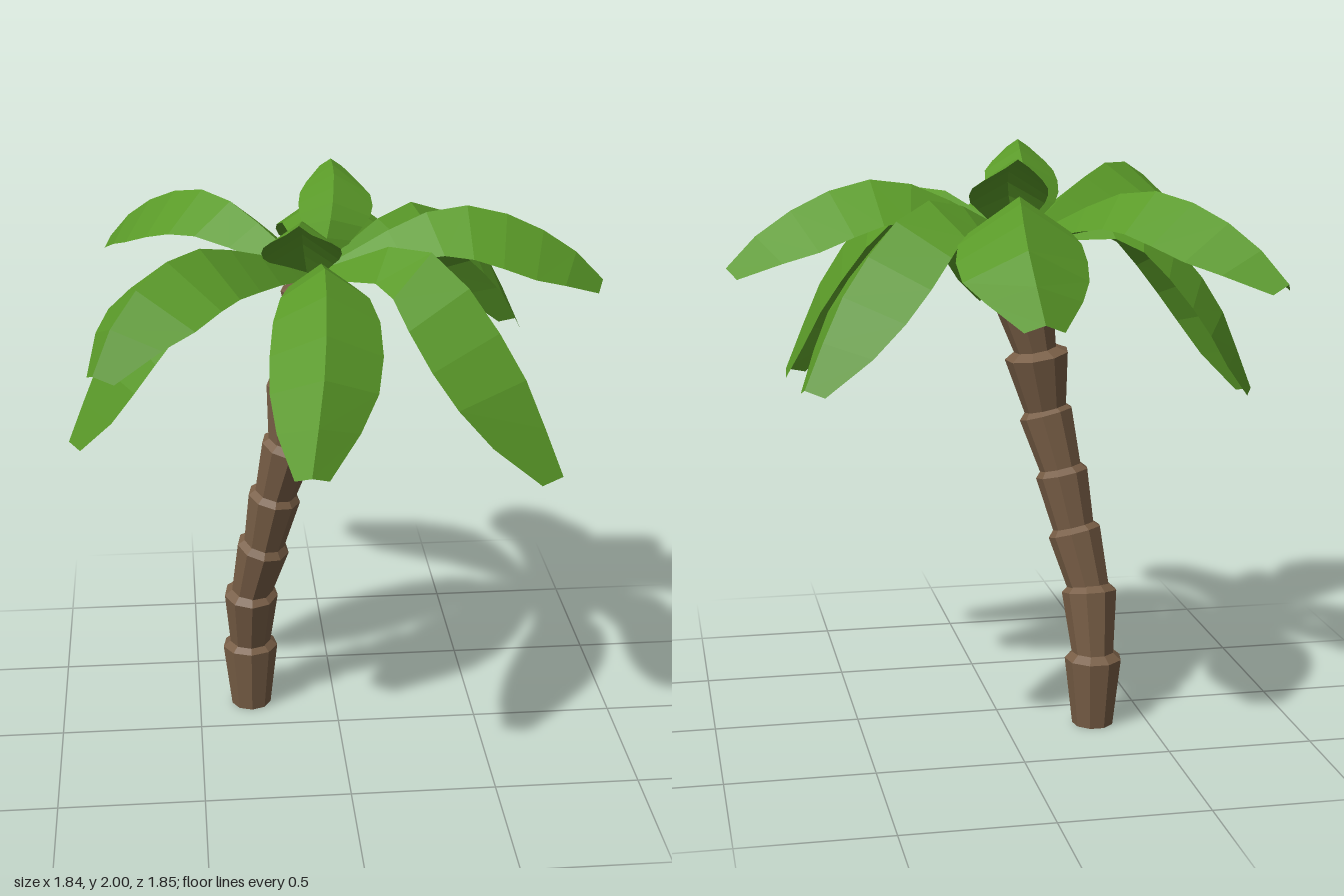
import * as THREE from 'three';

const bark = new THREE.MeshStandardMaterial({ color: 0x785e46, flatShading: true });
const green = new THREE.MeshStandardMaterial({ color: 0x5a9a28, flatShading: true, side: THREE.DoubleSide });
const V = (p) => new THREE.Vector3(...p);
const UP = new THREE.Vector3(0, 1, 0);

// One flared trunk section from point a to point b, with a sloping ledge on top
function trunkSection(a, b, rBottom, rTop) {
  const dir = b.clone().sub(a);
  const length = dir.length();
  const profile = [[0, 0], [rBottom, 0], [rTop, length - 0.005], [rBottom, length + 0.018], [0, length + 0.018]];
  const geo = new THREE.LatheGeometry(profile.map(([x, y]) => new THREE.Vector2(x, y)), 9);
  const mesh = new THREE.Mesh(geo, bark);
  mesh.position.copy(a);
  mesh.quaternion.setFromUnitVectors(UP, dir.normalize());
  return mesh;
}

// Half-width of a frond along its length
const WIDTHS = [0.045, 0.075, 0.12, 0.16, 0.19, 0.2, 0.19, 0.145, 0.06];

const sideOf = (from, to) =>
  new THREE.Vector3().crossVectors(UP, to.clone().sub(from).setY(0).normalize());

// A folded blade: a midrib ridge with both halves sloping away from it
function frond(path, scale, name) {
  const curve = new THREE.CatmullRomCurve3(path);
  const pos = [], index = [];
  const side = sideOf(path[0], path[path.length - 1]);
  WIDTHS.forEach((width, i) => {
    const t = i / (WIDTHS.length - 1);
    const mid = curve.getPointAt(t);
    const normal = curve.getTangentAt(t).cross(side).normalize();
    const w = width * scale;
    const fold = normal.multiplyScalar(-0.7 * w);
    const left = mid.clone().addScaledVector(side, w).add(fold);
    const right = mid.clone().addScaledVector(side, -w).add(fold);
    pos.push(...left, ...mid, ...right);
    if (i === 0) return;
    const a = (i - 1) * 3, b = i * 3;
    index.push(a + 1, b + 1, a, a, b + 1, b);
    index.push(a + 1, a + 2, b + 1, a + 2, b + 2, b + 1);
  });
  const geo = new THREE.BufferGeometry();
  geo.setAttribute('position', new THREE.Float32BufferAttribute(pos, 3));
  geo.setIndex(index);
  geo.computeVertexNormals();
  const mesh = new THREE.Mesh(geo, green);
  mesh.name = name;
  return mesh;
}

export function createModel() {
  const palm = new THREE.Group();
  palm.name = 'palmTree';

  // Curved trunk of stacked sections: x, y, z, top radius
  const trunk = new THREE.Group();
  trunk.name = 'trunk';
  const joints = [
    [-0.31, 0, -0.18, 0], [-0.31, 0.245, -0.18, 0.1], [-0.305, 0.475, -0.135, 0.097],
    [-0.26, 0.68, -0.09, 0.094], [-0.22, 0.885, -0.06, 0.093], [-0.17, 1.09, -0.025, 0.095],
    [-0.135, 1.3, -0.03, 0.112], [-0.09, 1.495, -0.02, 0.105], [-0.075, 1.64, -0.03, 0.12],
  ];
  for (let i = 1; i < joints.length; i++) {
    const section = trunkSection(V(joints[i - 1].slice(0, 3)), V(joints[i].slice(0, 3)), 0.072, joints[i][3]);
    section.name = 'trunkSection' + i;
    trunk.add(section);
  }
  palm.add(trunk);

  // Large drooping fronds: tip, [distance, height] along the arch, width scale, sideways bow
  const crown = V([-0.08, 1.7, -0.05]);
  const drooping = [
    { tip: [0.03, 1.55, -0.93], arch: [[0.43, 1.88], [0.8, 1.76]], scale: 1.03, bow: -0.04 },
    { tip: [0.72, 1.32, -0.63], arch: [[0.46, 1.86], [0.8, 1.63]], scale: 0.94, bow: 0 },
    { tip: [0.92, 1.63, -0.1], arch: [[0.48, 1.91], [0.84, 1.78]], scale: 1, bow: 0 },
    { tip: [0.68, 1.17, 0.53], arch: [[0.47, 1.86], [0.81, 1.57]], scale: 1.08, bow: -0.04 },
    { tip: [-0.16, 1.36, 0.92], arch: [[0.46, 1.84], [0.8, 1.64]], scale: 0.88, bow: 0.04 },
    { tip: [-0.8, 1.63, 0.72], arch: [[0.33, 1.85], [0.62, 1.915], [0.88, 1.8]], scale: 0.95, bow: 0 },
    { tip: [-0.92, 1.14, 0.01], arch: [[0.44, 1.77], [0.8, 1.51]], scale: 0.9, bow: 0 },
    { tip: [-0.77, 1.63, -0.79], arch: [[0.48, 1.89], [0.83, 1.78]], scale: 0.92, bow: 0 },
  ];
  const fronds = new THREE.Group();
  fronds.name = 'fronds';
  drooping.forEach(({ tip, arch, scale, bow }, i) => {
    const end = V(tip);
    const side = sideOf(crown, end);
    const middle = arch.map(([f, y]) => crown.clone().lerp(end, f).setY(y).addScaledVector(side, bow));
    fronds.add(frond([crown, ...middle, end], scale, 'droopingFrond' + (i + 1)));
  });

  // Two short upright fronds at the centre
  const upright = [
    [[-0.1, 1.68, -0.03], [-0.13, 1.87, 0.14], [-0.14, 1.975, 0.3], [-0.16, 1.995, 0.43]],
    [[-0.06, 1.68, -0.07], [-0.01, 1.87, -0.15], [0.01, 1.975, -0.29], [0.01, 1.995, -0.41]],
  ];
  upright.forEach((path, i) => fronds.add(frond(path.map(V), 0.64, 'uprightFrond' + (i + 1))));
  palm.add(fronds);

  return palm;
}
